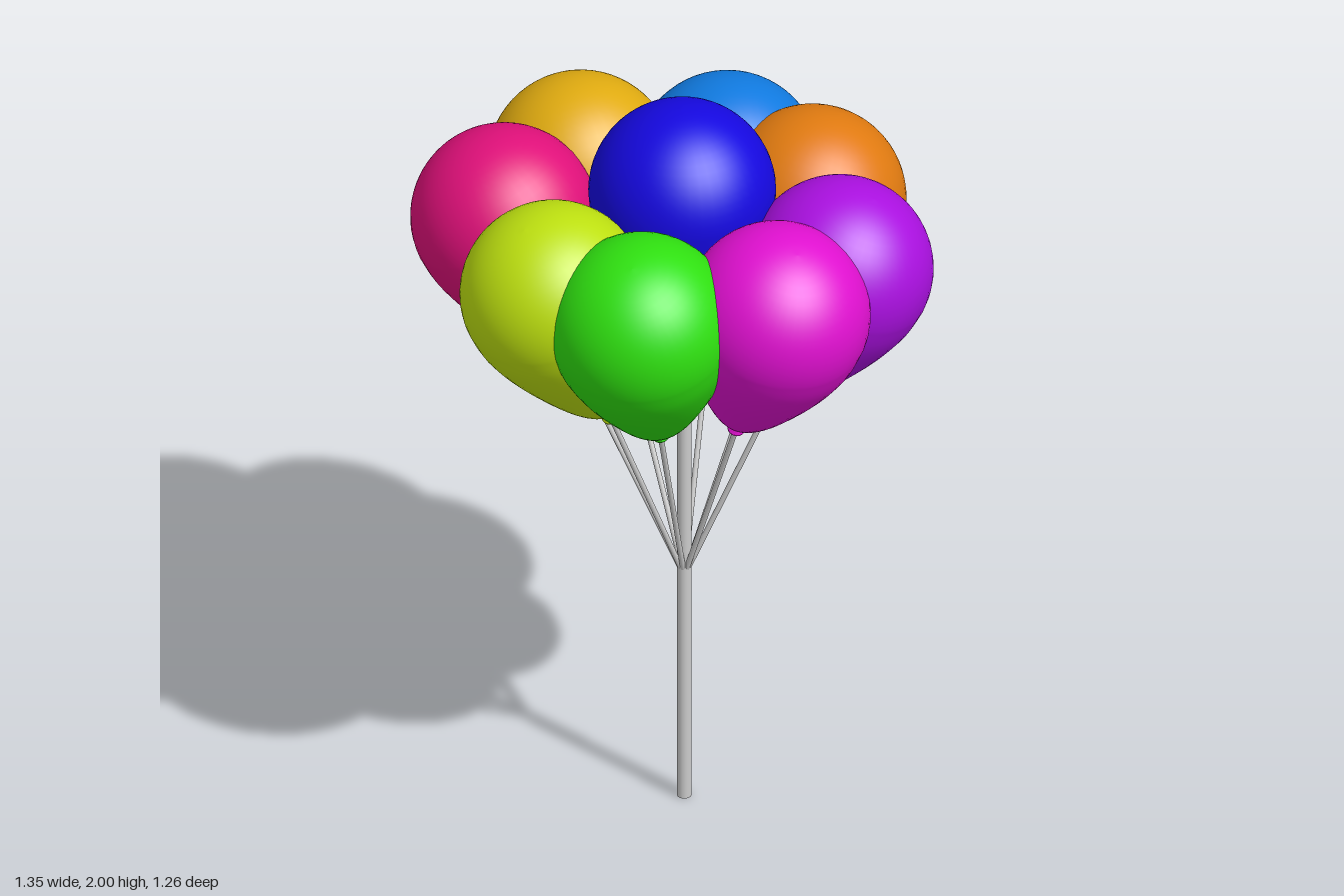
import * as THREE from 'three';

const UP = new THREE.Vector3(0, 1, 0);
const POLE_X = 0.035;
const RADIUS = 0.235; // balloon crown radius
const NECK = 0.433; // distance from crown centre down to the neck

// name, colour, crown centre x, y, z
const BALLOONS = [
  ['blue', 0x1508e0, 0.025, 1.765, -0.015],
  ['pink', 0xe0107a, -0.44, 1.605, -0.015],
  ['lime', 0xbde010, -0.21, 1.615, 0.315],
  ['green', 0x2fe010, 0.045, 1.615, 0.395],
  ['magenta', 0xe010d0, 0.352, 1.615, 0.245],
  ['purple', 0xaa10e0, 0.438, 1.615, -0.01],
  ['orange', 0xe07a10, 0.275, 1.615, -0.31],
  ['skyBlue', 0x107ae0, 0.025, 1.615, -0.4],
  ['gold', 0xe0ab10, -0.33, 1.605, -0.31],
];

// Teardrop outline, neck at the origin: curved lower flank, then a round crown
function bodyGeometry() {
  const flank = new THREE.SplineCurve([
    [0.012, 0], [0.05, 0.02], [0.1, 0.085], [0.15, 0.175],
    [0.195, 0.27], [0.226, 0.36], [RADIUS, NECK],
  ].map(([r, y]) => new THREE.Vector2(r, y)));
  const points = flank.getPoints(24);
  for (let i = 1; i <= 16; i++) {
    const a = (i / 16) * Math.PI / 2;
    points.push(new THREE.Vector2(Math.max(0, RADIUS * Math.cos(a)), NECK + RADIUS * Math.sin(a)));
  }
  return new THREE.LatheGeometry(points, 48);
}

// Small flared lip under the neck
function knotGeometry() {
  const points = [[0, -0.028], [0.021, -0.032], [0.023, -0.025], [0.012, -0.015], [0.012, 0.006]]
    .map(([r, y]) => new THREE.Vector2(r, y));
  return new THREE.LatheGeometry(points, 16);
}

// Cylinder between two points
function rod(name, from, to, radius, material) {
  const dir = to.clone().sub(from);
  const mesh = new THREE.Mesh(new THREE.CylinderGeometry(radius, radius, dir.length(), 16), material);
  mesh.name = name;
  mesh.position.copy(from).add(to).multiplyScalar(0.5);
  mesh.quaternion.setFromUnitVectors(UP, dir.normalize());
  return mesh;
}

export function createModel() {
  const model = new THREE.Group();
  model.name = 'balloonBunch';
  const grey = new THREE.MeshStandardMaterial({ color: 0xcccccc });
  const gather = new THREE.Vector3(POLE_X, 0.645, 0); // where the strings meet
  const body = bodyGeometry();
  const knot = knotGeometry();

  // Central pole, reaching up to the middle balloon
  model.add(rod('pole', new THREE.Vector3(POLE_X, 0, 0), new THREE.Vector3(POLE_X, 1.3, 0), 0.018, grey));

  // Balloons fan out along lines from the gathering point
  for (const [name, color, x, y, z] of BALLOONS) {
    const material = new THREE.MeshStandardMaterial({ color, side: THREE.DoubleSide });
    const centre = new THREE.Vector3(x, y, z);
    const axis = centre.clone().sub(gather).normalize();
    const neck = centre.clone().addScaledVector(axis, -NECK);

    const balloon = new THREE.Group();
    balloon.name = name + 'Balloon';
    balloon.position.copy(neck);
    balloon.quaternion.setFromUnitVectors(UP, axis);
    const bodyMesh = new THREE.Mesh(body, material);
    bodyMesh.name = 'balloonBody';
    const knotMesh = new THREE.Mesh(knot, material);
    knotMesh.name = 'balloonKnot';
    balloon.add(bodyMesh, knotMesh);

    model.add(balloon, rod(name + 'String', gather, neck, 0.007, grey));
  }
  return model;
}
